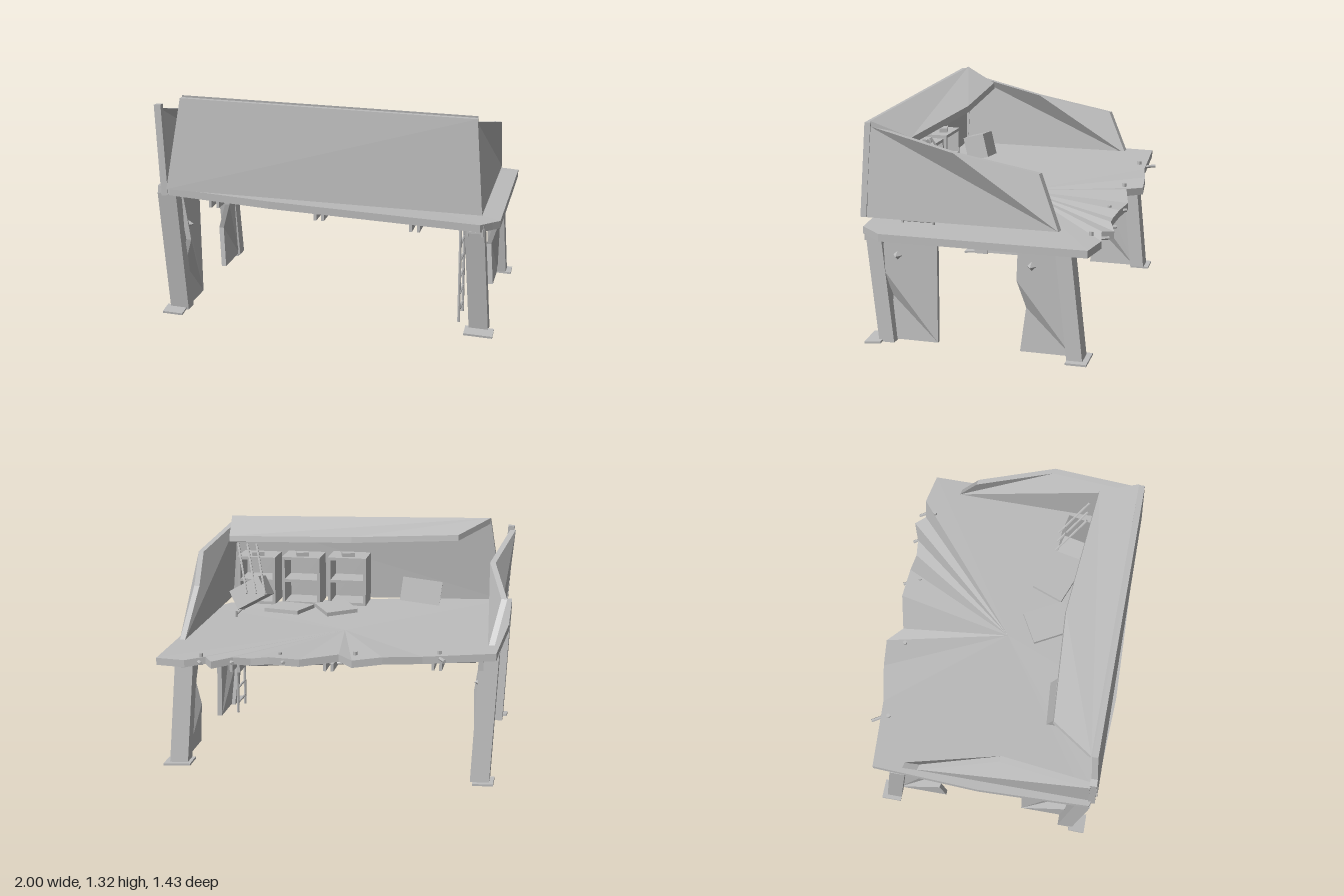
import * as THREE from 'three';

export function createModel() {
  const model = new THREE.Group();
  const grey = new THREE.MeshStandardMaterial({ color: 0xbcbcbc, flatShading: true });
  grey.name = 'weathered grey';

  const add = (name, geo, parent = model) => {
    const mesh = new THREE.Mesh(geo, grey);
    mesh.name = name;
    parent.add(mesh);
    return mesh;
  };
  const V = (a) => new THREE.Vector3(...a);
  // height of the sloping table surface
  const topY = (x) => 0.728 - 0.063 * x;

  // Solid slab: a bent outline swept along an offset, with caps fanned from a hub
  function solid(points, offset, hubPoint = points[0]) {
    let loop = points.map(V);
    const off = V(offset), hub = V(hubPoint), n = new THREE.Vector3();
    loop.forEach((p, i) => n.add(p.clone().cross(loop[(i + 1) % loop.length])));
    if (n.dot(off) > 0) loop = loop.reverse();
    const out = [];
    const tri = (...ps) => ps.forEach((p) => out.push(p.x, p.y, p.z));
    loop.forEach((a, i) => {
      const b = loop[(i + 1) % loop.length];
      const a2 = a.clone().add(off), b2 = b.clone().add(off);
      if (a.distanceTo(hub) > 1e-6 && b.distanceTo(hub) > 1e-6) {
        tri(hub, a, b);
        tri(hub.clone().add(off), b2, a2);
      }
      tri(a, a2, b2);
      tri(a, b2, b);
    });
    const geo = new THREE.BufferGeometry();
    geo.setAttribute('position', new THREE.Float32BufferAttribute(out, 3));
    geo.computeVertexNormals();
    return geo;
  }
  const box = (name, size, pos, rot = [0, 0, 0], parent = model) => {
    const m = add(name, new THREE.BoxGeometry(...size), parent);
    m.position.set(...pos);
    m.rotation.set(...rot);
    return m;
  };
  const rod = (name, a, b, r, parent = model) => {
    const p = V(a), d = V(b).sub(p);
    const m = add(name, new THREE.CylinderGeometry(r, r, d.length(), 6), parent);
    m.position.copy(p).addScaledVector(d, 0.5);
    m.quaternion.setFromUnitVectors(new THREE.Vector3(0, 1, 0), d.normalize());
    return m;
  };

  // Table top with a broken, slightly uneven back edge
  const outline = [
    [-0.98, 0.65], [-0.9, 0.68], [-0.3, 0.71], [0.9, 0.68], [0.96, 0.6], [1, 0.55], [1, -0.645],
    [0.82, -0.68], [0.7, -0.655], [0.65, -0.715], [0.53, -0.67], [0.43, -0.66], [0.32, -0.675],
    [0.14, -0.69], [-0.08, -0.635], [-0.17, -0.72], [-0.34, -0.7], [-0.56, -0.655], [-0.97, -0.63], [-1, 0],
  ];
  const uneven = (i) => (i > 6 && i < 18 ? 0.006 * (-1) ** i : 0);
  add('tableTop', solid(outline.map(([x, z], i) => [x, topY(x) + uneven(i), z]), [0, -0.043, 0], [0, 0.708, 0]));

  // Front wall, leaning slightly back
  add('frontWall', solid([
    [-0.915, 0.78, 0.69], [0.91, 0.73, 0.69], [0.87, 1.265, 0.665], [-0.83, 1.31, 0.65],
  ], [0, 0, -0.035]));

  // Folded side walls
  for (const [name, x, low] of [['leftWall', 0.91, 0.73], ['rightWall', -0.91, 0.765]]) {
    add(name, solid([
      [x, low, -0.46], [x, low, 0.65], [x - 0.045, 1.245, 0.64],
      [x + 0.042, 1.14, 0.12], [x - 0.06, 1.03, -0.335],
    ], [-0.034, 0, -0.008]));
  }
  box('rightCornerPost', [0.04, 0.53, 0.04], [-0.945, 1.005, 0.655], [-0.03, 0, 0.06]);

  // Sloping canopy over the front wall
  add('canopy', solid([
    [-0.83, 1.32, 0.61], [0.87, 1.275, 0.63], [0.83, 1.185, 0.405], [0.02, 1.22, 0.335], [-0.65, 1.25, 0.375],
  ], [0, -0.036, -0.005]));
  rod('canopyRail', [-0.62, 1.21, 0.42], [0.8, 1.15, 0.42], 0.008);

  // Legs with folded brace plates and feet
  for (const sx of [-1, 1]) {
    for (const front of [true, false]) {
      const x = sx < 0 ? -0.95 : 0.84, dz = front ? 0 : -1.1;
      const h = sx < 0 ? 0.74 : 0.65;
      const leg = new THREE.Group();
      leg.name = (front ? 'front' : 'back') + (sx > 0 ? 'LeftLeg' : 'RightLeg');
      model.add(leg);
      add('post', solid([
        [x, 0.01, 0.49 + dz], [x + 0.11, 0.01, 0.49 + dz], [x + 0.11, 0.01, 0.58 + dz], [x, 0.01, 0.58 + dz],
      ], [-0.03, h, 0.08]), leg);
      // brace plate with a crease running to its bottom corner
      const pz = front ? 0 : -0.785, px = sx < 0 ? -0.865 : 0.885, t = topY(px) - 0.04;
      add('bracePlate', solid([
        [px + 0.01, 0.015, 0.245 + pz], [px, t, 0.245 + pz], [px, t, 0.56 + pz],
        [px + 0.045, 0.44, 0.555 + pz], [px - 0.01, 0.27, 0.515 + pz], [px + 0.01, 0.015, 0.545 + pz],
      ], [-0.03, 0, 0]), leg);
      const spike = add('spike', new THREE.ConeGeometry(0.035, 0.05, 4), leg);
      spike.position.set(px + 0.015, 0.515, 0.48 + pz);
      spike.rotation.z = -Math.PI / 2;
      box('foot', [sx < 0 ? 0.12 : 0.165, 0.012, front ? 0.1 : 0.12],
        [sx < 0 ? -0.915 : 0.9, front ? 0.016 : 0.006, (front ? 0.61 : 0.52) + dz],
        [front ? 0.12 : 0, 0, -0.06], leg);
    }
  }
  // Small bracket on the front left leg
  for (const dx of [-0.04, 0.04]) box('bracketBar', [0.012, 0.045, 0.012], [0.87 + dx, 0.62, 0.66]);
  box('bracketBar', [0.08, 0.01, 0.012], [0.87, 0.62, 0.66]);

  // Ladder hooked through the table
  const ladder = new THREE.Group();
  ladder.name = 'ladder';
  model.add(ladder);
  for (const z of [0.305, 0.49]) rod('ladderRail', [0.77, 0.025, z], [0.77, 0.715, z], 0.009, ladder);
  for (let i = 0; i < 7; i++) {
    const y = 0.09 + i * 0.1;
    rod('rung', [0.77, y, 0.305], [0.77, y, 0.49], 0.007, ladder);
  }

  // Paired rails below the table
  for (const x of [0.53, -0.02, -0.64]) {
    for (const dx of [-0.022, 0.022]) {
      box('underRail', [0.016, 0.045, 1.3], [x + dx, topY(x) - 0.07, 0.01]);
    }
  }
  for (const z of [-0.47, -0.52]) {
    rod('crossRail', [-0.85, 0.71, z], [0.45, 0.62, z], 0.012);
    rod('crossRail', [0.45, 0.62, z], [0.85, 0.62, z], 0.012);
  }

  // Bolts and pegs along the back edge
  for (const x of [-0.65, -0.17, 0.27, 0.74]) {
    const bolt = add('bolt', new THREE.CylinderGeometry(0.012, 0.012, 0.07, 8));
    bolt.position.set(x, topY(x) - 0.02, -0.605);
  }
  for (const x of [-0.66, 0.255, 0.555, 0.745]) {
    rod('edgePeg', [x + 0.03, topY(x) - 0.02, -0.6], [x - 0.03, topY(x) - 0.02, -0.7], 0.01);
  }

  // Row of open cubbies, facing the back
  for (const x of [0.66, 0.365, 0.065]) {
    const cubby = new THREE.Group();
    cubby.name = 'cubby';
    cubby.position.set(x, 0.757 - 0.027 * x, 0.52);
    model.add(cubby);
    for (const s of [-0.115, 0.115]) box('cubbySide', [0.018, 0.31, 0.2], [s, 0.155, 0], [0, 0, 0], cubby);
    for (const y of [0.009, 0.155, 0.301]) box('cubbyShelf', [0.212, 0.018, 0.2], [0, y, 0], [0, 0, 0], cubby);
    box('cubbyBack', [0.212, 0.29, 0.015], [0, 0.155, 0.092], [0, 0, 0], cubby);
    box('smallTray', [0.08, 0.025, 0.05], [0, 0.322, -0.04], [0, 0.3, 0], cubby);
  }

  // Loose boxes and boards on the table
  box('board', [0.2, 0.024, 0.26], [0.1, 0.785, 0.235], [0, 0.5, -0.05]);
  box('board', [0.25, 0.024, 0.2], [0.4, 0.77, 0.235], [0, -0.36, -0.05]);
  box('tiltedBox', [0.22, 0.13, 0.14], [0.66, 0.845, 0.295], [0.2, -0.12, -0.5]);
  box('leaningBox', [0.25, 0.15, 0.13], [-0.42, 0.875, 0.4], [0.25, 0.1, 0.1]);
  for (let i = 0; i < 3; i++) {
    const x = 0.55 + i * 0.06;
    rod('stick', [x, 0.86, 0.2], [x + 0.09, 1.15, 0.36], 0.007);
  }
  return model;
}
